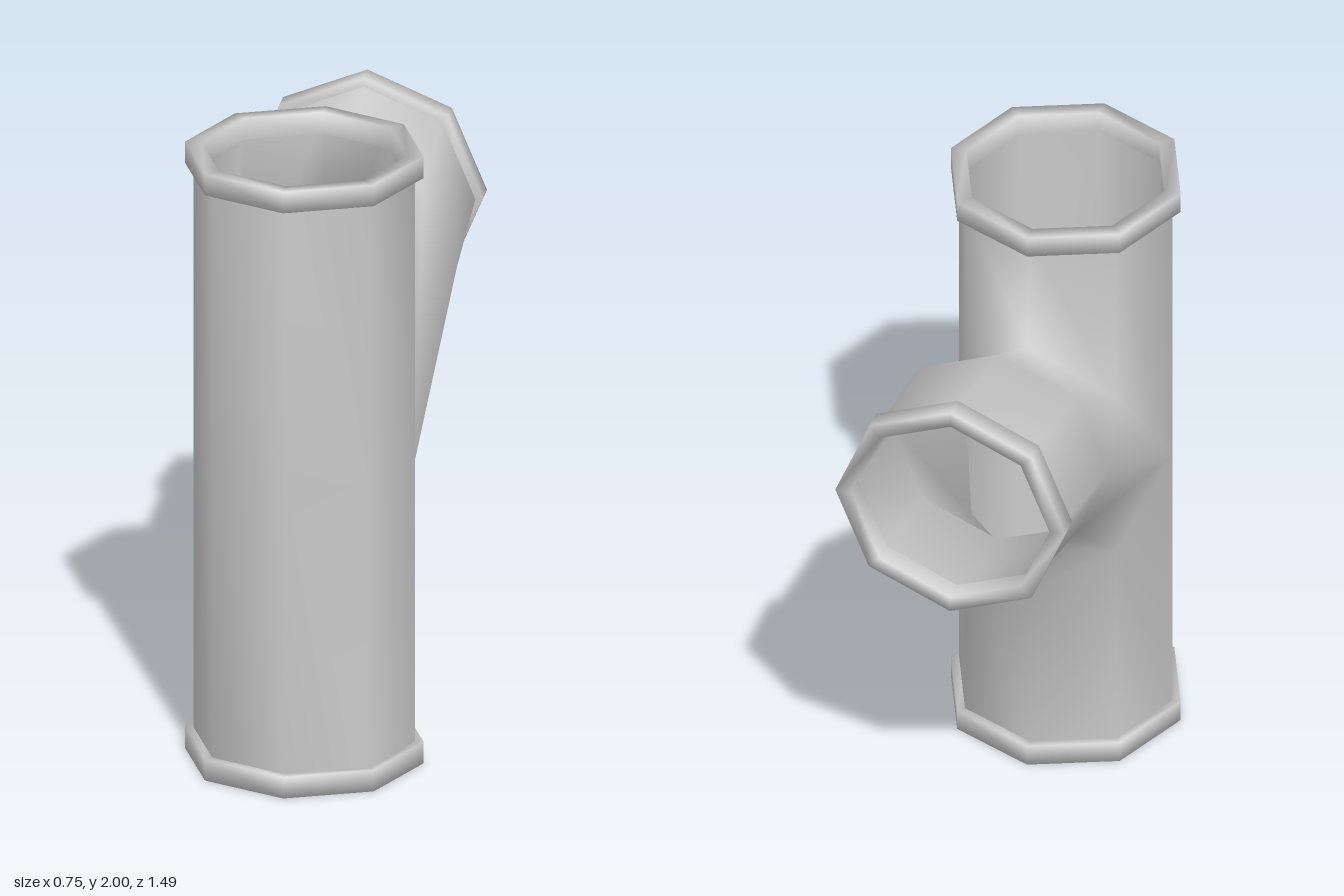
import * as THREE from 'three';
import { mergeVertices } from 'three/addons/utils/BufferGeometryUtils.js';

const SIDES = 8;
const AXIS_Z = 0.372;          // axis of the upright pipe
const LOW = [0.65, 0.78, 1.0, 1.0, 1.0, 1.0, 1.0, 0.78];   // lower rim of the branch opening, from the back round
const HIGH = [1.58, 1.36, 1.0, 1.0, 1.0, 1.0, 1.0, 1.36];  // upper rim

const ring = (fn) => Array.from({ length: SIDES }, (_, k) => fn((k * Math.PI * 2) / SIDES, k));

// Y-shaped pipe wall, drawn in by inset; the inner wall faces the other way
function pipeShell(inset, inward) {
  const r = 0.346 - inset;
  const column = (yAt, spread = 0) => ring((a, k) =>
    [r * Math.sin(a), yAt(k), AXIS_Z - (r + (k === 0 ? spread : 0)) * Math.cos(a)]);
  const section = (z, cy, radius) => ring((a) =>
    [(radius - inset) * Math.sin(a), cy + (radius - inset) * Math.cos(a), z]);

  const bottom = column(() => 0.02);
  const low = column((k) => LOW[k] + (LOW[k] < 1 ? inset : 0));
  const high = column((k) => HIGH[k] - (HIGH[k] > 1 ? inset : 0), 0.015);
  const top = column(() => 1.98);
  const mouth = [high[0], high[1], high[2], low[1], low[0], low[7], low[6], high[7]];
  const elbow = section(-0.285, 1.39, 0.361);
  const end = section(-0.71, 1.468, 0.348);

  const positions = [];
  const tri = (a, b, c) => positions.push(...a, ...(inward ? c : b), ...(inward ? b : c));
  const strip = (A, B) => {
    for (let k = 0; k < SIDES; k++) {
      const n = (k + 1) % SIDES;
      tri(A[k], B[k], B[n]);
      tri(A[k], B[n], A[n]);
    }
  };
  strip(bottom, low);
  strip(high, top);
  strip(elbow, mouth);
  strip(end, elbow);

  let geometry = new THREE.BufferGeometry();
  geometry.setAttribute('position', new THREE.Float32BufferAttribute(positions, 3));
  geometry = mergeVertices(geometry, 1e-4);
  geometry.computeVertexNormals();
  return geometry;
}

// Eight-sided collar with softly shaded edges
function collarGeometry() {
  const profile = [[0.322, 0], [0.373, 0], [0.373, 0.07], [0.322, 0.07], [0.322, 0]];
  return new THREE.LatheGeometry(profile.map(([x, y]) => new THREE.Vector2(x, y)), SIDES);
}

export function createModel() {
  const group = new THREE.Group();
  group.name = 'pipeJunction';
  const material = new THREE.MeshStandardMaterial({ color: 0xcccccc });
  const add = (name, geometry) => {
    const mesh = new THREE.Mesh(geometry, material);
    mesh.name = name;
    group.add(mesh);
    return mesh;
  };

  // Walls
  add('outerWall', pipeShell(0, false));
  add('innerWall', pipeShell(0.022, true));

  // Collars at the three openings
  const collar = collarGeometry();
  add('bottomCollar', collar).position.set(0, 0, AXIS_Z);
  add('topCollar', collar).position.set(0, 1.93, AXIS_Z);
  const branchCollar = add('branchCollar', collar);
  branchCollar.rotation.x = -Math.PI / 2 + 0.01;
  branchCollar.position.set(0, 1.467, -0.672);

  return group;
}
